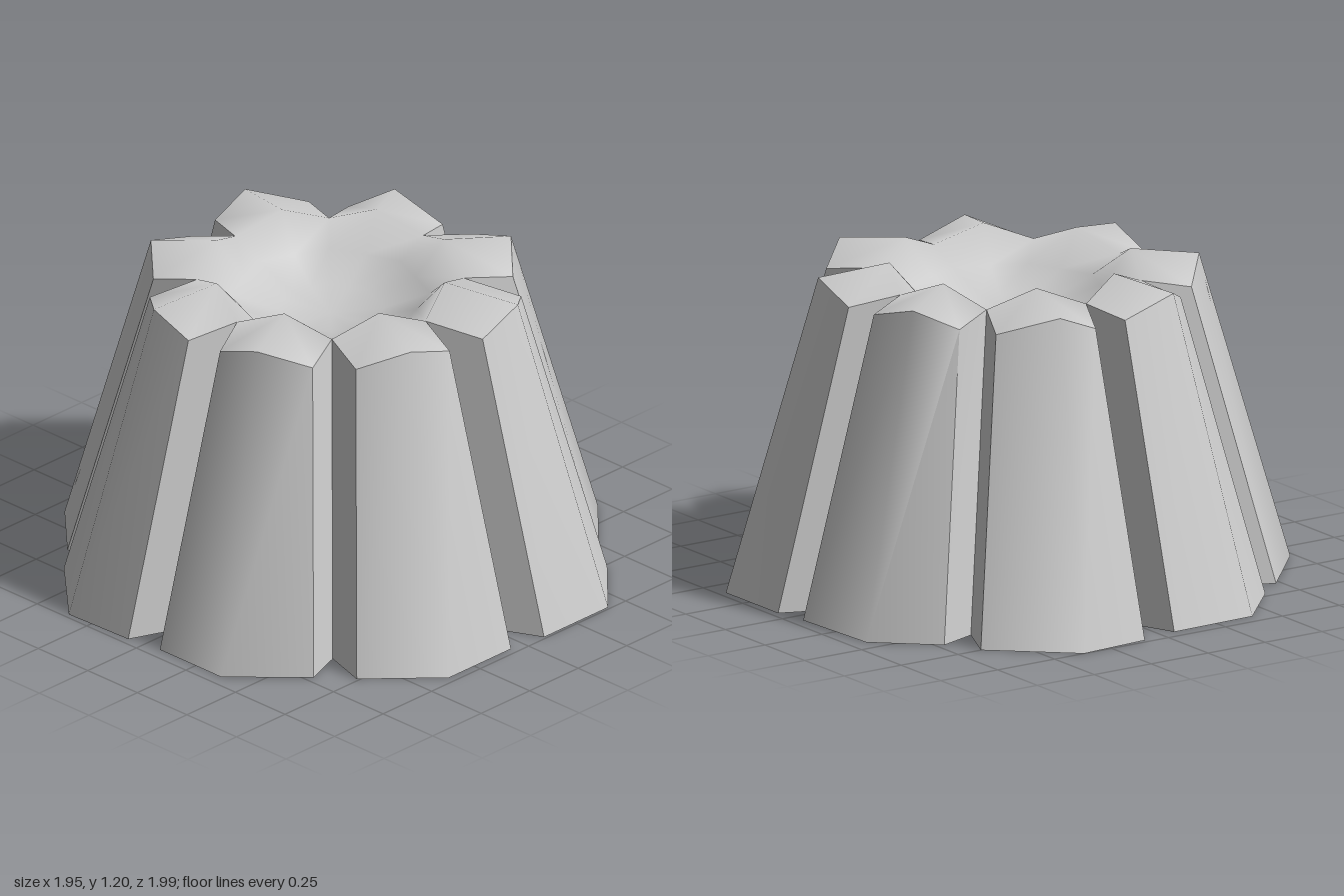
import * as THREE from 'three';
import { mergeVertices, toCreasedNormals } from 'three/addons/utils/BufferGeometryUtils.js';

// Base corners (x, z) of the eight lobes, counter-clockwise from above, starting at +z
const LOBES = [
  [[0.09, 0.99], [0.42, 0.99], [0.65, 0.76]],
  [[0.74, 0.63], [0.97, 0.40], [0.97, 0.07]],
  [[0.95, -0.06], [0.93, -0.43], [0.72, -0.62]],
  [[0.65, -0.75], [0.37, -1.0], [0.09, -0.98]],
  [[-0.06, -0.95], [-0.41, -0.94], [-0.62, -0.72]],
  [[-0.73, -0.63], [-0.98, -0.36], [-0.97, -0.07]],
  [[-0.95, 0.07], [-0.95, 0.38], [-0.72, 0.62]],
  [[-0.62, 0.74], [-0.38, 0.97], [-0.06, 0.97]],
];
const BASE_Y = 0.01;
const v = (x, y, z) => new THREE.Vector3(x, y, z);
const polar = (r, y, i) => v(r * Math.sin(i * Math.PI / 4), y, r * Math.cos(i * Math.PI / 4));

function geometryFrom(triangles) {
  return new THREE.BufferGeometry().setFromPoints(triangles.flat());
}

export function createModel() {
  const group = new THREE.Group();
  const material = new THREE.MeshStandardMaterial({ color: 0xcccccc });
  const add = (name, geometry) => {
    const mesh = new THREE.Mesh(geometry, material);
    mesh.name = name;
    group.add(mesh);
  };

  // Outlines: groove point followed by the three corners of each lobe
  const base = [], top = [], rim = [];
  LOBES.forEach((lobe, i) => {
    base.push(polar(0.8, BASE_Y, i));
    top.push(polar(0.48, 1.14, i));
    lobe.forEach(([x, z], k) => {
      base.push(v(x, BASE_Y, z));
      if (k === 1) top.push(v(x * 0.675, 1.17, z * 0.675));
      else {
        // lobe edges run parallel to their groove
        const p = polar(0.31, 0, k === 0 ? i : i + 1);
        top.push(v(x - p.x, 1.105, z - p.z));
      }
    });
    rim.push(polar(0.48, 1.14, i), polar(0.445, 1.21, i + 0.5));
  });

  const n = base.length;
  const walls = [], bottom = [], crown = [];
  for (let i = 0; i < n; i++) {
    const j = (i + 1) % n;
    walls.push([base[i], base[j], top[j]], [base[i], top[j], top[i]]);
    bottom.push([base[j], base[i], v(0, BASE_Y, 0)]);
    // lobe tops fall outward from a central peak
    crown.push([top[i], top[j], rim[Math.floor(i / 4) * 2 + 1]]);
  }

  // Shallow bowl inside the rim
  const rings = [rim];
  for (const [s, y] of [[0.75, 1.08], [0.4, 1.02]]) {
    rings.push(rim.map(p => v(p.x * s, y, p.z * s)));
  }
  for (let i = 0; i < 16; i++) {
    const j = (i + 1) % 16;
    for (let r = 0; r < 2; r++) {
      const a = rings[r], b = rings[r + 1];
      crown.push([a[i], a[j], b[j]], [a[i], b[j], b[i]]);
    }
    crown.push([rings[2][i], rings[2][j], v(0, 1, 0)]);
  }

  add('flutedWall', toCreasedNormals(geometryFrom(walls), 0.95));
  const crownGeometry = mergeVertices(geometryFrom(crown));
  crownGeometry.computeVertexNormals();
  add('hollowedTop', crownGeometry);
  const bottomGeometry = geometryFrom(bottom);
  bottomGeometry.computeVertexNormals();
  add('base', bottomGeometry);
  return group;
}
